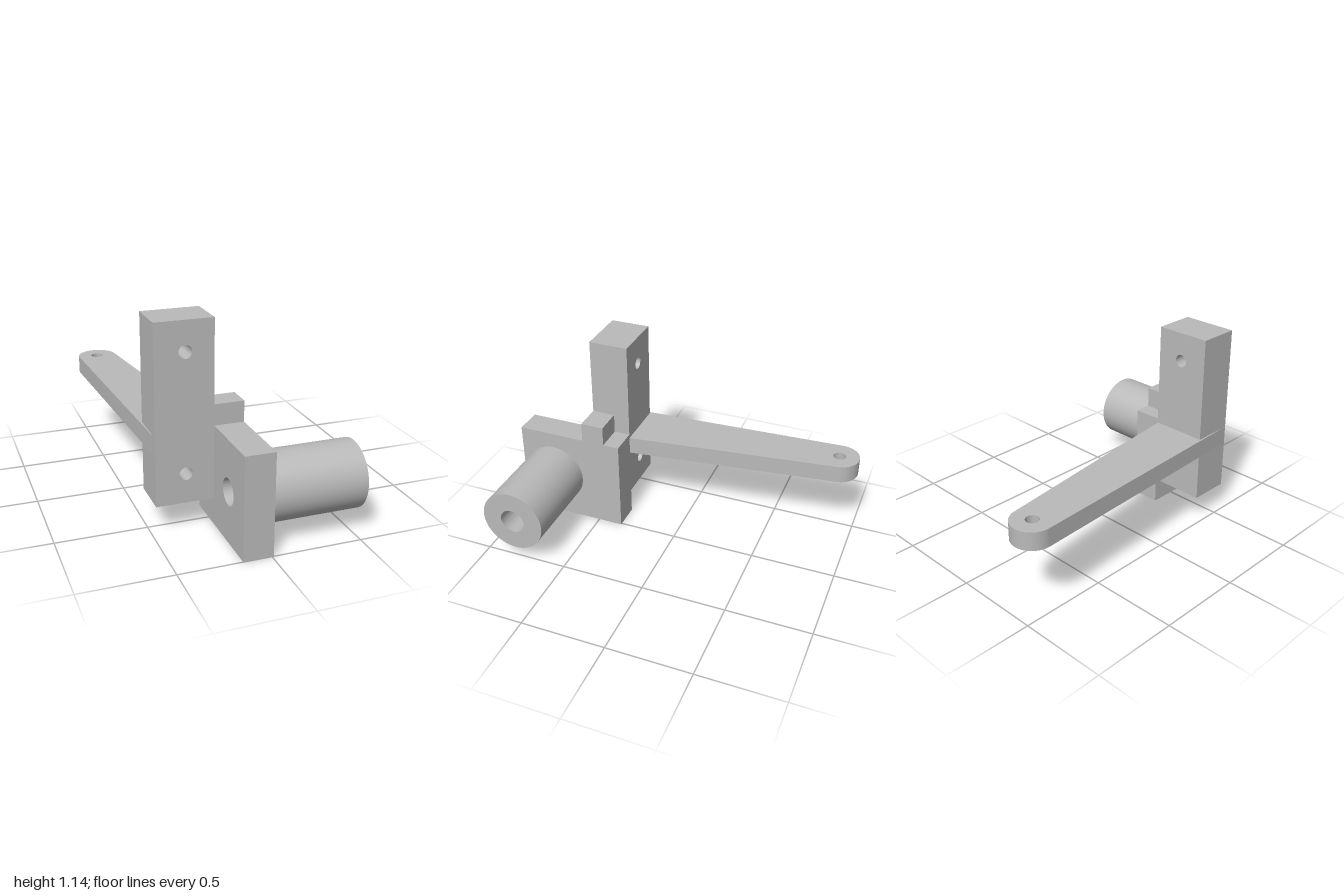
import * as THREE from 'three';
import { toCreasedNormals } from 'three/addons/utils/BufferGeometryUtils.js';

const grey = new THREE.MeshStandardMaterial({ color: 0xbababa });
grey.name = 'plain grey';

// Closed outline from a list of 2D points
const outline = (points) => new THREE.Shape(points.map(([x, y]) => new THREE.Vector2(x, y)));

// Cuts a round hole in a shape
function drill(shape, x, y, r) {
  const hole = new THREE.Path();
  hole.absarc(x, y, r, 0, Math.PI * 2, true);
  shape.holes.push(hole);
}

// Extrudes a shape between two depths along the chosen axis:
// z takes (x, y) outlines, x takes (-z, y) outlines, y takes (x, -z) outlines
function solid(name, shape, axis, from, to) {
  const geo = new THREE.ExtrudeGeometry(shape, { depth: to - from, bevelEnabled: false, curveSegments: 48 });
  geo.translate(0, 0, from);
  if (axis === 'x') geo.rotateY(Math.PI / 2);
  if (axis === 'y') geo.rotateX(-Math.PI / 2);
  const mesh = new THREE.Mesh(toCreasedNormals(geo, 0.5), grey);
  mesh.name = name;
  return mesh;
}

export function createModel() {
  const group = new THREE.Group();
  group.name = 'leverBracket';

  // Upright block with two bolt holes
  const block = outline([[-0.475, 0.155], [-0.155, 0.155], [-0.155, 1.145], [-0.475, 1.145]]);
  for (const y of [0.32, 0.98]) drill(block, -0.31, y, 0.036);
  group.add(solid('uprightBlock', block, 'z', 0.35, 0.585));

  // Side plate with a raised tab, bored through for the sleeve
  const plate = outline([
    [-1, 0], [-0.35, 0], [-0.35, 0.568], [-0.447, 0.568],
    [-0.447, 0.685], [-0.585, 0.685], [-0.585, 0.568], [-1, 0.568],
  ]);
  drill(plate, -0.788, 0.285, 0.074);
  group.add(solid('sidePlate', plate, 'x', -0.155, 0.01));

  // Hollow sleeve
  const sleeve = new THREE.Shape();
  sleeve.absarc(-0.788, 0.285, 0.188, 0, Math.PI * 2, false);
  drill(sleeve, -0.788, 0.285, 0.074);
  group.add(solid('sleeve', sleeve, 'x', 0.01, 0.543));

  // Tapered lever arm with a rounded, drilled end
  const arm = new THREE.Shape();
  arm.moveTo(-0.475, -0.584);
  arm.lineTo(-0.2, -0.5);
  arm.lineTo(-0.156, -0.35);
  arm.absarc(-0.428, 0.882, 0.118, 0.123, Math.PI + 0.048, false);
  arm.closePath();
  drill(arm, -0.428, 0.882, 0.037);
  group.add(solid('leverArm', arm, 'y', 0.438, 0.543));

  return group;
}
